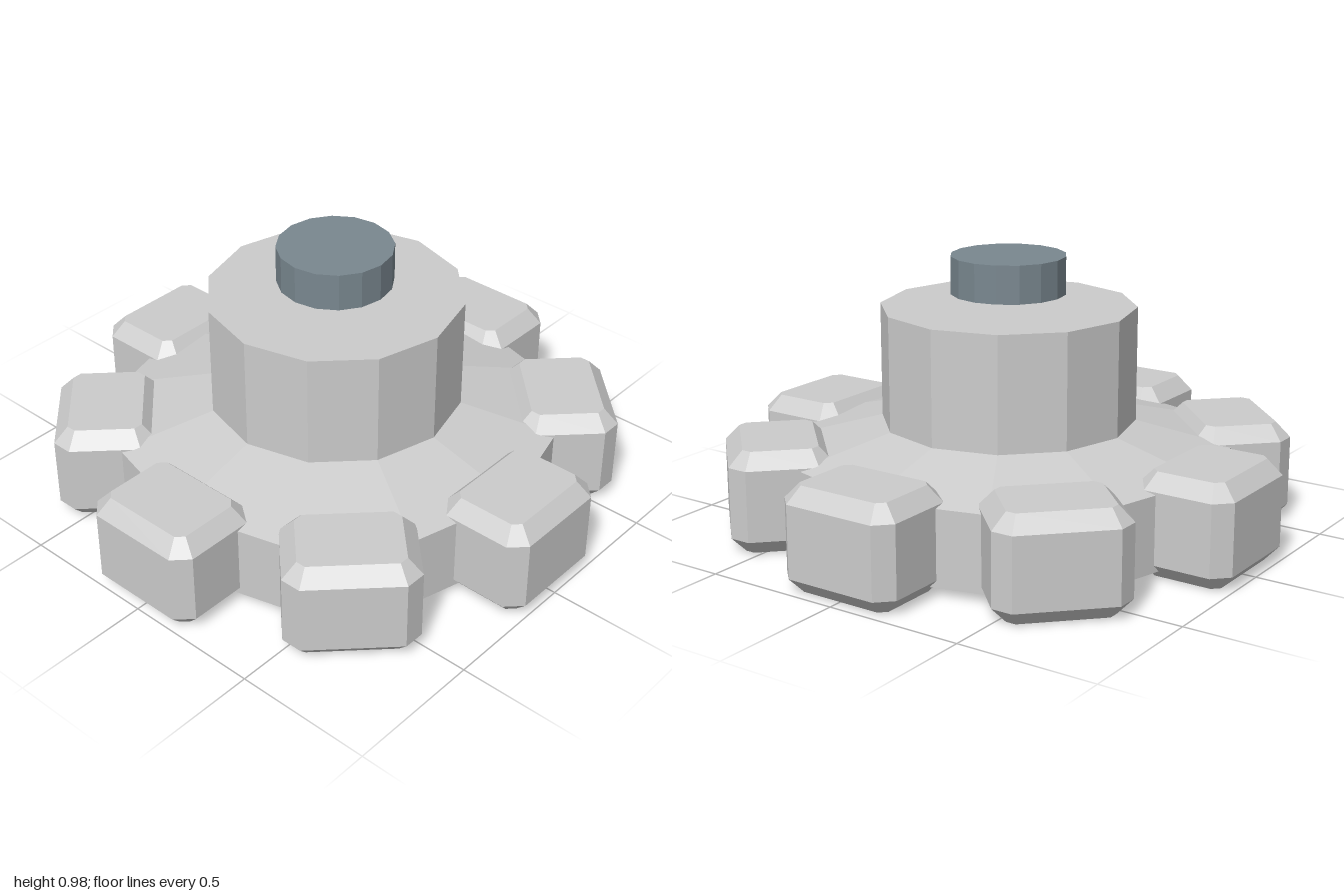
import * as THREE from 'three';

const grey = new THREE.MeshStandardMaterial({ color: 0xcccccc, flatShading: true });
const slate = new THREE.MeshStandardMaterial({ color: 0x79878f, flatShading: true });

function add(parent, name, geometry, material = grey) {
  const mesh = new THREE.Mesh(geometry, material);
  mesh.name = name;
  parent.add(mesh);
  return mesh;
}

// Faceted upright cylinder or cone frustum between two heights
function drum(rTop, rBottom, y0, y1, sides) {
  return new THREE.CylinderGeometry(rTop, rBottom, y1 - y0, sides).translate(0, (y0 + y1) / 2, 0);
}

// Block with cut corners and bevelled top and bottom, standing on y = 0
function chamferedBlock(width, height, depth, cut, bevel) {
  const x = width / 2, y = depth / 2;
  const outline = new THREE.Shape([
    [x, y - cut], [x - cut, y], [cut - x, y], [-x, y - cut],
    [-x, cut - y], [cut - x, -y], [x - cut, -y], [x, cut - y],
  ].map(([a, b]) => new THREE.Vector2(a, b)));
  return new THREE.ExtrudeGeometry(outline, {
    depth: height - 2 * cut,
    bevelEnabled: true,
    bevelThickness: cut,
    bevelSize: bevel,
    bevelOffset: -bevel,
    bevelSegments: 1,
  }).rotateX(-Math.PI / 2).translate(0, cut, 0);
}

export function createModel() {
  const model = new THREE.Group();
  model.name = 'valveWheel';

  // Twelve-sided base with a sloping top and a raised hub
  add(model, 'baseDisc', drum(0.8, 0.8, 0.03, 0.3, 12));
  add(model, 'baseSlope', drum(0.45, 0.8, 0.3, 0.39, 12));
  add(model, 'hub', drum(0.455, 0.455, 0.3, 0.8, 12));

  // Cap hovering above the hub
  add(model, 'cap', drum(0.205, 0.205, 0.845, 0.98, 16), slate);

  // Ring of eight grip blocks
  const grips = new THREE.Group();
  grips.name = 'gripBlocks';
  const block = chamferedBlock(0.455, 0.365, 0.36, 0.055, 0.05).translate(0, 0, 0.82);
  for (let i = 0; i < 8; i++) {
    add(grips, 'gripBlock', block).rotation.y = (i * Math.PI) / 4;
  }
  model.add(grips);

  return model;
}
